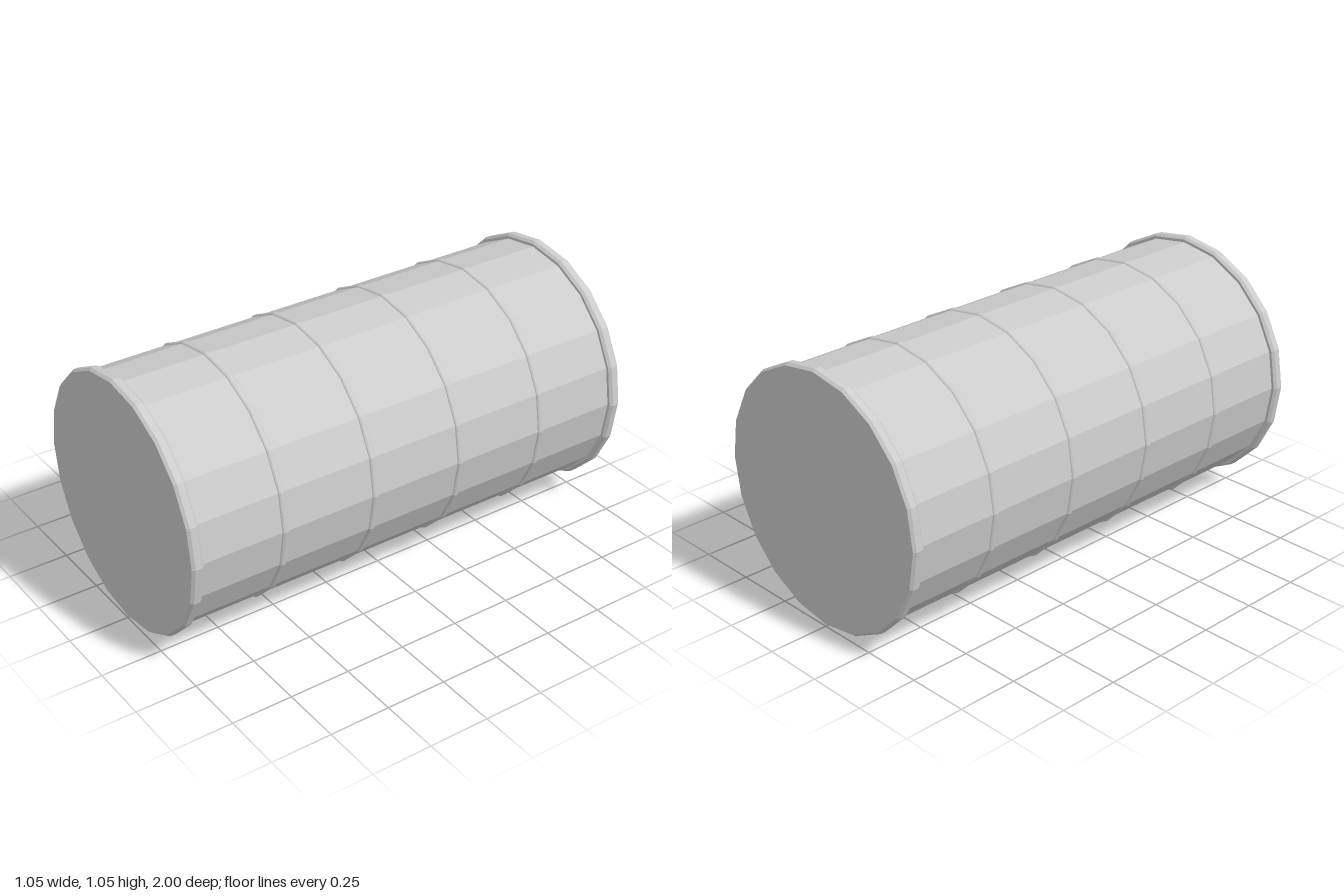
import * as THREE from 'three';

const SIDES = 20;
const AXIS_Y = 0.523;

export function createModel() {
  const model = new THREE.Group();
  model.name = 'barrel';
  const material = new THREE.MeshStandardMaterial({ color: 0xcccccc, flatShading: true });

  // Revolve a [radius, offset] profile about the barrel's z axis
  function revolve(name, profile, z) {
    const points = profile.map(([r, y]) => new THREE.Vector2(r, y));
    const geometry = new THREE.LatheGeometry(points, SIDES).rotateX(Math.PI / 2);
    const mesh = new THREE.Mesh(geometry, material);
    mesh.name = name;
    mesh.position.set(0, AXIS_Y, z);
    model.add(mesh);
  }

  // Drum wall
  revolve('body', [[0.503, -0.96], [0.503, 0.96]], 0);

  // Thin raised hoops around the wall
  for (const z of [-0.6, -0.2, 0.2, 0.6]) {
    revolve('hoop', [[0.5, -0.016], [0.507, -0.011], [0.51, -0.005], [0.51, 0.005], [0.507, 0.011], [0.5, 0.016]], z);
  }

  // Flat end lids with chamfered rims
  const rim = [[0.5, -0.024], [0.514, -0.024], [0.523, -0.013], [0.523, 0.013], [0.514, 0.024]];
  revolve('frontLid', [...rim, [0, 0.024]], 0.976);
  revolve('backLid', [...rim, [0, 0.024]].map(([r, y]) => [r, -y]).reverse(), -0.976);

  return model;
}
